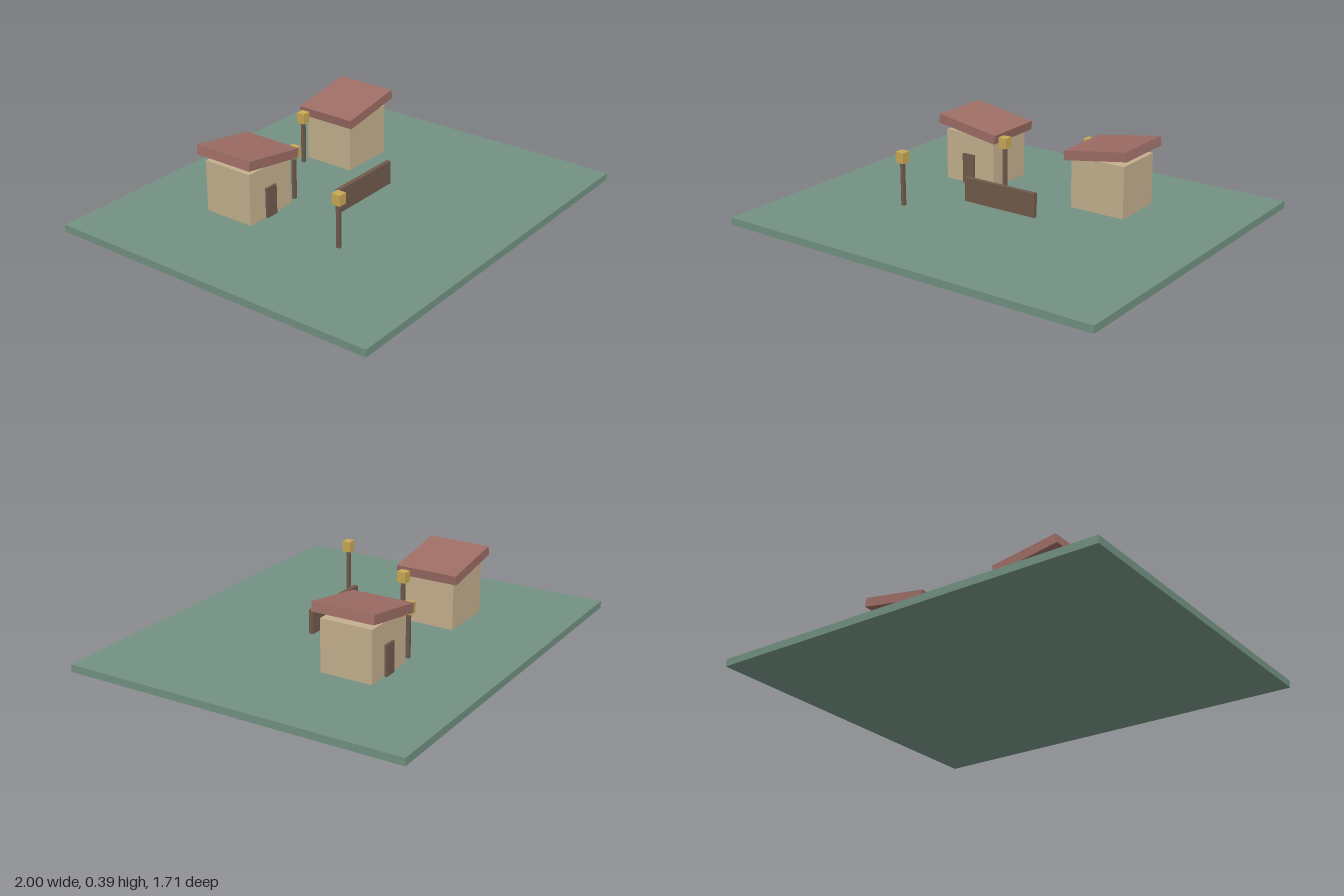
import * as THREE from 'three';

const mat = (name, color) => {
  const m = new THREE.MeshStandardMaterial({ color });
  m.name = name;
  return m;
};

export function createModel() {
  const green = mat('sage green', 0x739182);
  const sand = mat('sand', 0xc3af8d);
  const red = mat('dusty red', 0x9d6d65);
  const brown = mat('brown', 0x705a4b);
  const gold = mat('lamp gold', 0xc8a856);

  const model = new THREE.Group();
  model.name = 'courtyard';

  const box = (parent, name, material, [w, h, d], [x, y, z]) => {
    const mesh = new THREE.Mesh(new THREE.BoxGeometry(w, h, d), material);
    mesh.name = name;
    mesh.position.set(x, y, z);
    parent.add(mesh);
    return mesh;
  };
  const group = (name, x, z) => {
    const g = new THREE.Group();
    g.name = name;
    g.position.set(x, 0, z);
    model.add(g);
    return g;
  };

  // Ground slab; everything else starts slightly above it
  box(model, 'ground', green, [2, 0.036, 1.714], [0, 0.018, 0]);
  const base = 0.05;

  // Two huts: roofs rise outwards, one door faces front and the other back
  for (const side of [-1, 1]) {
    const hut = group(side < 0 ? 'rightHut' : 'leftHut', side * 0.371, -0.286);
    box(hut, 'walls', sand, [0.286, 0.255, 0.262], [0, base + 0.1275, 0]);
    const roof = box(hut, 'roof', red, [0.343, 0.046, 0.314], [0, 0.336, 0]);
    roof.rotation.z = side * 0.16;
    box(hut, 'door', brown, [0.067, 0.15, 0.024], [side * 0.004, base + 0.075, -side * 0.131]);
  }

  // Low board between the huts
  box(model, 'board', brown, [0.4, 0.118, 0.022], [0, 0.128, 0.1]);

  // Lamp posts
  for (const [x, z] of [[-0.432, 0.286], [-0.174, -0.178], [0.172, -0.402]]) {
    const lamp = group('lampPost', x, z);
    box(lamp, 'post', brown, [0.017, 0.216, 0.017], [0, base + 0.108, 0]);
    box(lamp, 'lantern', gold, [0.045, 0.053, 0.045], [0, 0.2915, 0]);
  }

  return model;
}
